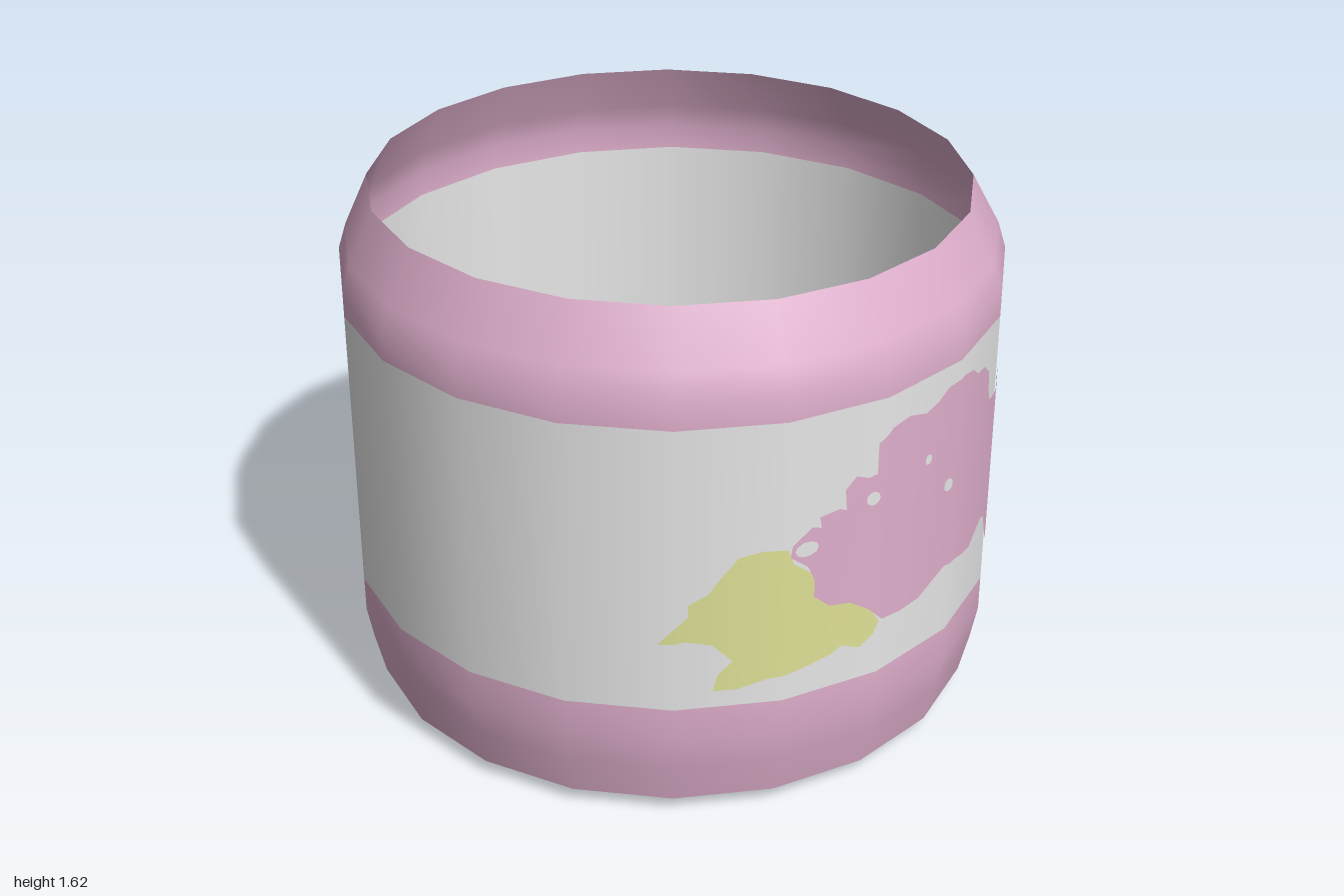
import * as THREE from 'three';

const SIDES = 20;
const STEP = (2 * Math.PI) / SIDES;

const material = (name, color) =>
  new THREE.MeshStandardMaterial({ name, color, side: THREE.DoubleSide });

// Cuts an outline of [u, y] points at a vertical line, keeping the side given by sign
function clip(points, edge, sign) {
  const out = [];
  points.forEach((b, i) => {
    const a = points[(i + points.length - 1) % points.length];
    const da = (a[0] - edge) * sign, db = (b[0] - edge) * sign;
    if ((da > 0 && db < 0) || (da < 0 && db > 0)) {
      const t = da / (da - db);
      out.push([edge, a[1] + (b[1] - a[1]) * t]);
    }
    if (db >= 0) out.push(b);
  });
  return out;
}

// Lays a flat [z, y] outline on the facets of the +x side, on the outside and inside of the wall
function wallPaint(name, outline, mat, lift) {
  const group = new THREE.Group();
  group.name = name;
  const flat = outline.map(([z, y]) => [-z, y]);
  for (let k = -5; k < 5; k++) {
    const a0 = k * STEP, a1 = a0 + STEP;
    const u0 = Math.sin(a0), u1 = Math.sin(a1);
    const piece = clip(clip(flat, u0, 1), u1, -1);
    if (piece.length < 3) continue;
    const shape = new THREE.Shape(piece.map(([u, y]) => new THREE.Vector2(u, y)));
    for (const offset of [lift, -lift]) {
      const geo = new THREE.ShapeGeometry(shape);
      const pos = geo.attributes.position, nor = geo.attributes.normal;
      for (let i = 0; i < pos.count; i++) {
        const u = pos.getX(i), t = (u - u0) / (u1 - u0);
        const x = Math.cos(a0) + (Math.cos(a1) - Math.cos(a0)) * t;
        const len = Math.hypot(x, u);
        pos.setXYZ(i, x * (1 + offset), pos.getY(i), -u * (1 + offset));
        nor.setXYZ(i, x / len, 0, -u / len);
      }
      const mesh = new THREE.Mesh(geo, mat);
      mesh.name = name + (offset > 0 ? 'Outside' : 'Inside');
      group.add(mesh);
    }
  }
  return group;
}

const CLOUD = [
  [.575, .875], [.57, .91], [.515, .955], [.49, .945], [.495, .98], [.44, .99], [.42, .98], [.425, 1.045],
  [.395, 1.08], [.36, 1.065], [.335, 1.07], [.335, 1.165], [.29, 1.2], [.22, 1.21], [.15, 1.19], [.1, 1.205],
  [.055, 1.235], [-.02, 1.243], [-.095, 1.225], [-.135, 1.195], [-.19, 1.19], [-.233, 1.155], [-.24, 1.09],
  [-.255, 1.05], [-.32, 1.06], [-.375, 1.078], [-.445, 1.065], [-.49, 1.02], [-.505, .94], [-.53, .89],
  [-.57, .86], [-.585, .8], [-.635, .77], [-.66, .725], [-.71, .685], [-.73, .605], [-.715, .54], [-.67, .51],
  [-.605, .525], [-.545, .515], [-.485, .485], [-.405, .485], [-.34, .51], [-.3, .565], [-.275, .64],
  [-.25, .65], [-.21, .625], [-.16, .597], [-.105, .605], [-.045, .622], [.025, .634], [.08, .607],
  [.14, .575], [.22, .57], [.3, .58], [.345, .63], [.4, .67], [.46, .68], [.505, .725], [.505, .78], [.525, .83],
];

const SPLASH = [
  [.63, .905], [.58, .9], [.565, .85], [.45, .75], [.35, .65], [.31, .575], [.325, .54], [.365, .505],
  [.42, .53], [.45, .51], [.54, .49], [.62, .48], [.68, .455], [.73, .455], [.72, .51], [.69, .55],
  [.73, .61], [.785, .63], [.83, .62], [.81, .67], [.78, .71], [.78, .75], [.74, .78], [.715, .83], [.68, .89],
];

// Spots: z, y, half width, half height
const SPOTS = [[.53, .89, .033, .024], [.345, .995, .02, .022], [.13, 1.035, .014, .016], [.033, .912, .019, .021]];

export function createModel() {
  const cup = new THREE.Group();
  cup.name = 'cup';
  const pink = material('pink', 0xdfafcc);
  const white = material('white', 0xeeeeee);
  const yellow = material('yellow', 0xdfe197);

  // Wall rings, each a band of the same profile
  const ring = (name, profile, mat) => {
    const geo = new THREE.LatheGeometry(profile.map(([r, y]) => new THREE.Vector2(r, y)), SIDES);
    const mesh = new THREE.Mesh(geo, mat);
    mesh.name = name;
    cup.add(mesh);
    return mesh;
  };
  ring('baseBevel', [[.88, 0], [.95, .05]], pink);
  ring('lowerBand', [[.95, .05], [.98, .18], [1, .29], [1, .4]], pink);
  ring('middleWall', [[1, .4], [1, 1.3]], white);
  const upper = ring('upperBand', [[1, 1.3], [1, 1.38], [.975, 1.46], [.9, 1.62]], pink);

  // The rim leans slightly to the front
  const pos = upper.geometry.attributes.position;
  for (let i = 0; i < pos.count; i++) {
    if (pos.getY(i) > 1.6) pos.setZ(i, pos.getZ(i) * .985 + .012);
  }

  // Floor
  const floor = new THREE.Mesh(new THREE.CircleGeometry(.88, SIDES).rotateX(Math.PI / 2), pink);
  floor.name = 'floor';
  cup.add(floor);

  // Painted decoration on the left side
  cup.add(wallPaint('yellowSplash', SPLASH, yellow, .002));
  cup.add(wallPaint('pinkCloud', CLOUD, pink, .004));
  SPOTS.forEach(([z, y, w, h]) => {
    const oval = Array.from({ length: 10 }, (_, i) => {
      const a = (i / 10) * 2 * Math.PI;
      return [z + w * Math.cos(a), y + h * Math.sin(a)];
    });
    cup.add(wallPaint('cloudSpot', oval, white, .006));
  });
  return cup;
}
